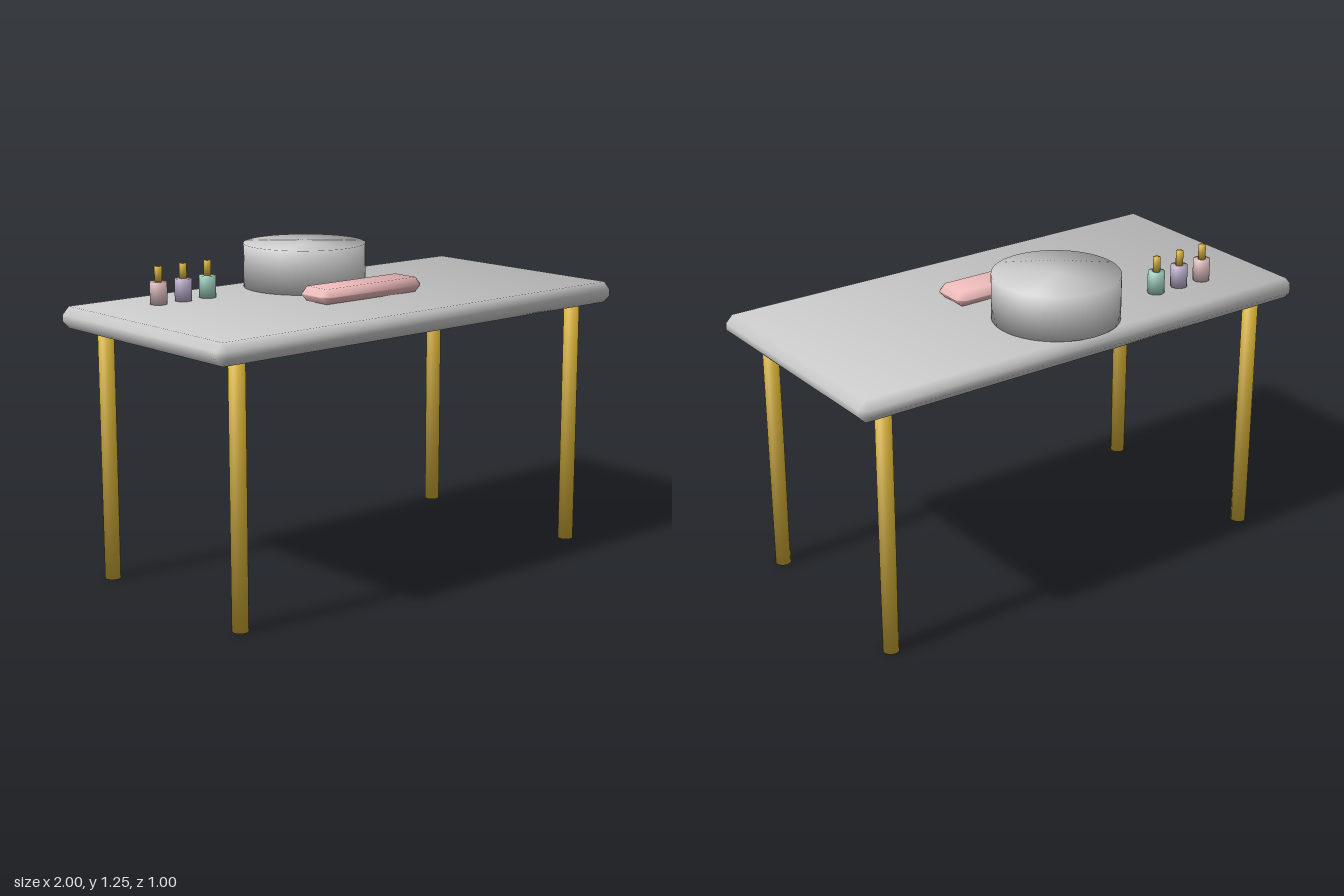
import * as THREE from 'three';
import { mergeVertices } from 'three/addons/utils/BufferGeometryUtils.js';
import { ConvexGeometry } from 'three/addons/geometries/ConvexGeometry.js';

const GREY = 0xcccccc, GOLD = 0xd4af37, PINK = 0xf0bcbc;
const TOP = 1.072, UNDERSIDE = 0.988;

// Weld the corners and give each one a smooth, angle-weighted normal
function smooth(source) {
  source.deleteAttribute('normal');
  source.deleteAttribute('uv');
  const geo = mergeVertices(source, 1e-5);
  const pos = geo.attributes.position, index = geo.index;
  const normals = Array.from({ length: pos.count }, () => new THREE.Vector3());
  const tri = new THREE.Triangle(), n = new THREE.Vector3();
  for (let i = 0; i < index.count; i += 3) {
    const ids = [0, 1, 2].map((k) => index.getX(i + k));
    tri.setFromAttributeAndIndices(pos, ...ids);
    tri.getNormal(n);
    const p = [tri.a, tri.b, tri.c];
    ids.forEach((id, k) => {
      const u = p[(k + 1) % 3].clone().sub(p[k]);
      const v = p[(k + 2) % 3].clone().sub(p[k]);
      normals[id].addScaledVector(n, u.angleTo(v));
    });
  }
  const flat = normals.flatMap((v) => v.normalize().toArray());
  geo.setAttribute('normal', new THREE.Float32BufferAttribute(flat, 3));
  return geo;
}

// Box with a single chamfer b along every edge
function chamferBox(w, h, d, b) {
  const points = [];
  for (const x of [-w / 2, w / 2])
    for (const y of [-h / 2, h / 2])
      for (const z of [-d / 2, d / 2])
        for (let axis = 0; axis < 3; axis++) {
          const c = [x, y, z].map((v, k) => (k === axis ? v : v - Math.sign(v) * b));
          points.push(new THREE.Vector3(...c));
        }
  return smooth(new ConvexGeometry(points));
}

function part(parent, name, geometry, color, x, y, z) {
  const mesh = new THREE.Mesh(geometry, new THREE.MeshStandardMaterial({ color }));
  mesh.name = name;
  mesh.position.set(x, y, z);
  parent.add(mesh);
  return mesh;
}

// Upright cylinder placed by its lower and upper height
function post(parent, name, r, y0, y1, color, x, z, sides = 32) {
  const geo = smooth(new THREE.CylinderGeometry(r, r, y1 - y0, sides));
  return part(parent, name, geo, color, x, (y0 + y1) / 2, z);
}

export function createModel() {
  const model = new THREE.Group();
  model.name = 'manicureTable';

  // Table
  part(model, 'tableTop', chamferBox(2, TOP - UNDERSIDE, 1, 0.029), GREY, 0, (TOP + UNDERSIDE) / 2, 0);
  for (const sx of [-1, 1])
    for (const sz of [-1, 1])
      post(model, `${sz > 0 ? 'front' : 'back'}${sx > 0 ? 'Left' : 'Right'}Leg`,
        0.031, 0, UNDERSIDE, GOLD, sx * 0.857, sz * 0.4);

  // Round drum at the back edge and the hand rest before it
  post(model, 'drum', 0.243, TOP, 1.245, GREY, 0, -0.257, 64);
  part(model, 'handRest', chamferBox(0.51, 0.058, 0.168, 0.027), PINK, 0, TOP + 0.029, 0.087);

  // Row of polish bottles
  [0xd9b9bc, 0xb9acca, 0x9ccabb].forEach((color, i) => {
    const bottle = new THREE.Group();
    bottle.name = `polishBottle${i + 1}`;
    bottle.position.set(-0.69 + i * 0.115, 0, -0.288);
    post(bottle, 'bottleBody', 0.033, TOP, 1.158, color, 0, 0);
    post(bottle, 'bottleCap', 0.0145, 1.158, 1.216, GOLD, 0, 0);
    model.add(bottle);
  });

  return model;
}
